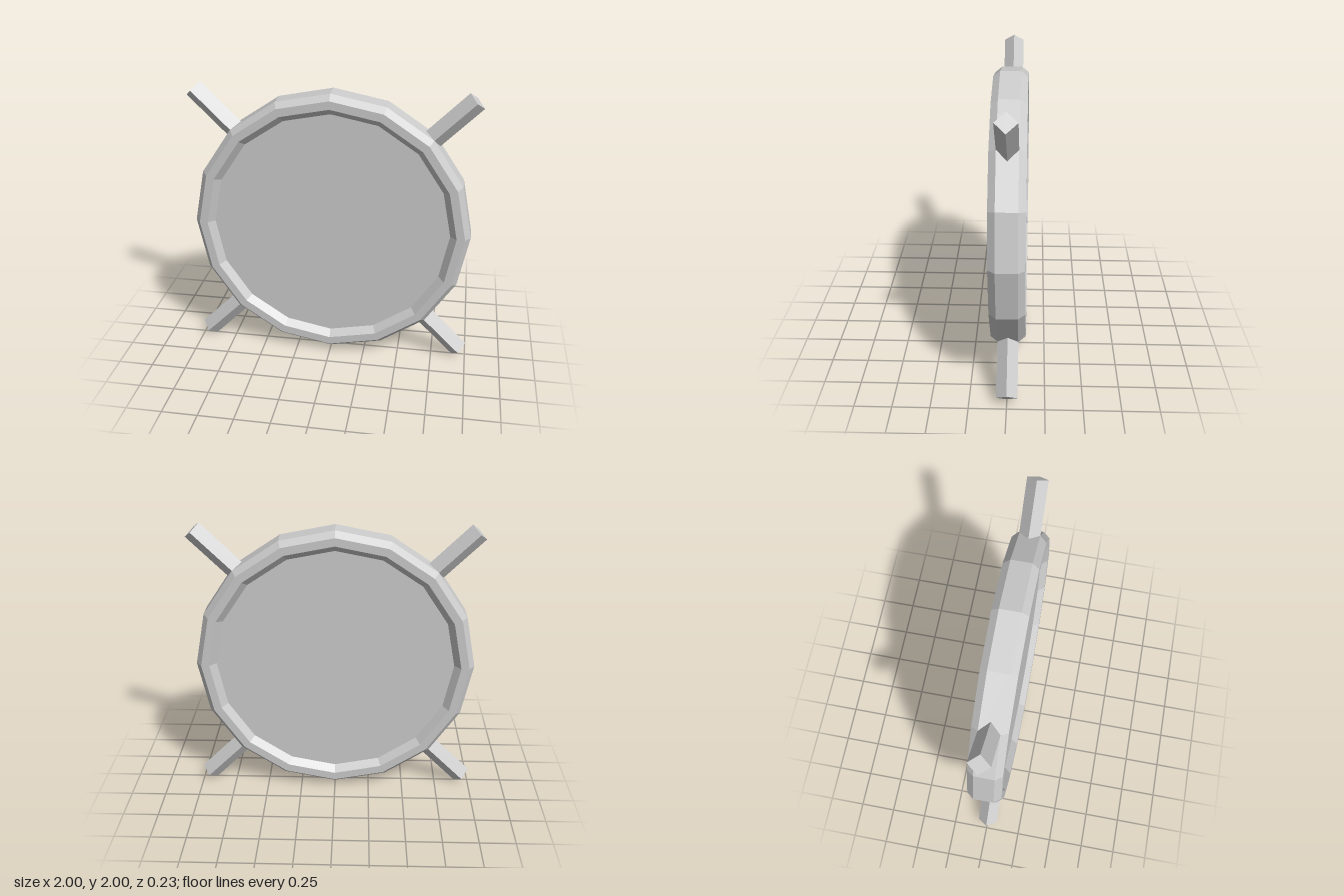
import * as THREE from 'three';

const SIDES = 16;

export function createModel() {
  const group = new THREE.Group();
  const grey = new THREE.MeshStandardMaterial({ color: 0xcccccc, flatShading: true });
  grey.name = 'grey';

  const add = (name, geometry) => {
    const mesh = new THREE.Mesh(geometry, grey);
    mesh.name = name;
    group.add(mesh);
    return mesh;
  };

  // Bevelled rim, turned so that its axis points to the front
  const profile = [
    [0.835, -0.07], [0.88, -0.117], [0.937, -0.117], [0.975, -0.07],
    [0.975, 0.07], [0.937, 0.117], [0.88, 0.117], [0.835, 0.07],
  ].map(([r, h]) => new THREE.Vector2(r, h));
  const rim = add('rim', new THREE.LatheGeometry(profile, SIDES).toNonIndexed());
  rim.rotation.x = Math.PI / 2;
  rim.position.y = 1;

  // Flat panel filling the rim on both faces
  const panel = add('panel', new THREE.CylinderGeometry(0.835, 0.835, 0.14, SIDES));
  panel.rotation.x = Math.PI / 2;
  panel.position.y = 1;

  // Four diagonal square pegs, set edge-on to the front
  const inner = 0.88, outer = 1.344;
  for (let i = 0; i < 4; i++) {
    const angle = Math.PI / 4 + i * Math.PI / 2;
    const geometry = new THREE.BoxGeometry(outer - inner, 0.1, 0.1);
    geometry.rotateX(Math.PI / 4);
    geometry.translate((inner + outer) / 2, 0, 0);
    const peg = add('peg' + (i + 1), geometry);
    peg.rotation.z = angle;
    peg.position.y = 1;
  }
  return group;
}
